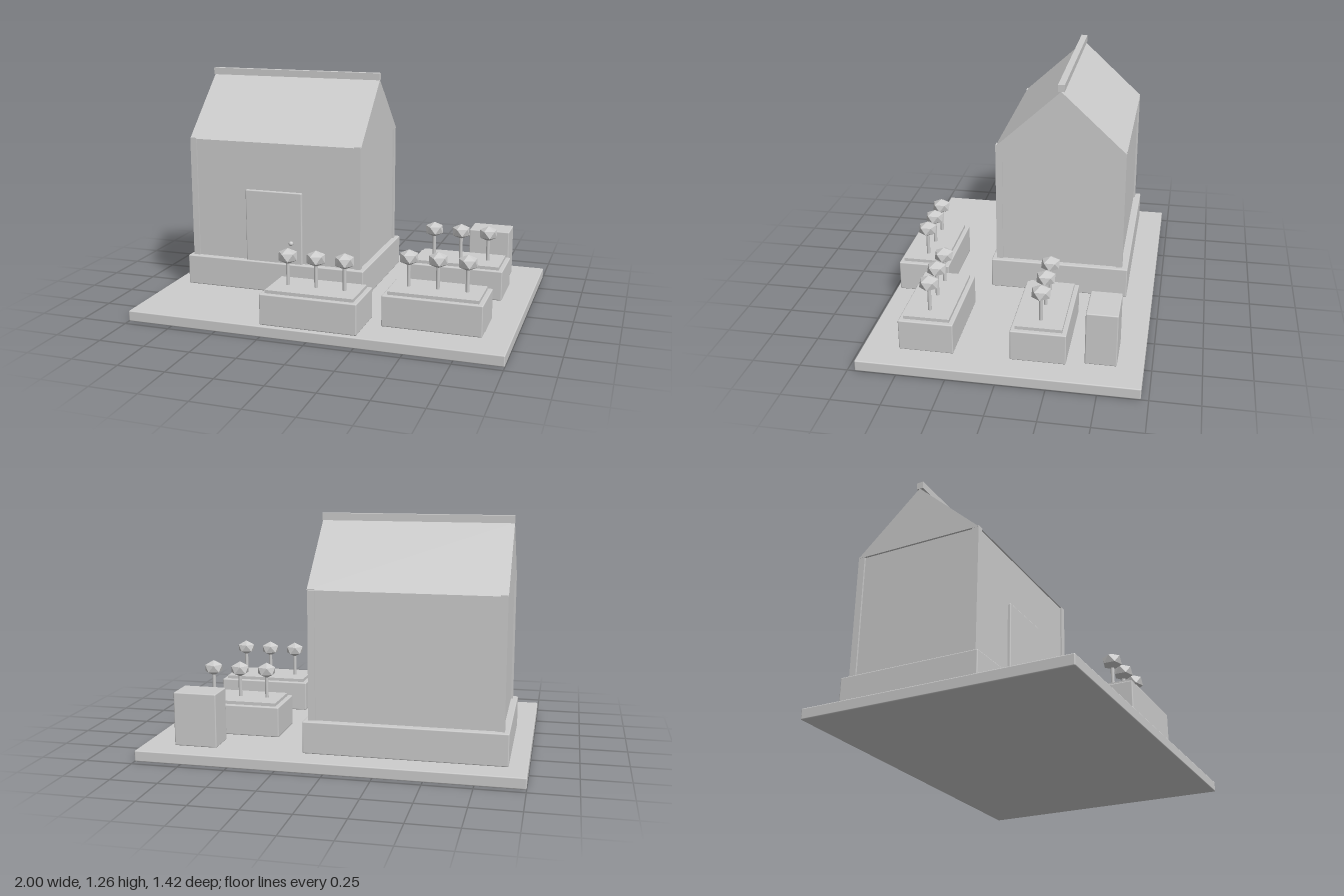
import * as THREE from 'three';
import { RoundedBoxGeometry } from 'three/addons/geometries/RoundedBoxGeometry.js';

export function createModel() {
  const model = new THREE.Group();
  model.name = 'gardenHouse';
  const grey = new THREE.MeshStandardMaterial({ color: 0xcccccc });
  grey.name = 'plain grey';

  function add(name, geometry, parent = model) {
    const mesh = new THREE.Mesh(geometry, grey);
    mesh.name = name;
    parent.add(mesh);
    return mesh;
  }

  // Box given by its extents; bevel > 0 softens the edges
  function block(name, [x0, x1], [y0, y1], [z0, z1], bevel = 0, parent = model) {
    const size = [x1 - x0, y1 - y0, z1 - z0];
    const geometry = bevel
      ? new RoundedBoxGeometry(...size, 2, bevel)
      : new THREE.BoxGeometry(...size);
    const mesh = add(name, geometry, parent);
    mesh.position.set((x0 + x1) / 2, (y0 + y1) / 2, (z0 + z1) / 2);
    return mesh;
  }

  // Ground slab and house plinth
  block('groundSlab', [-1, 1], [0, 0.058], [-0.712, 0.712], 0.006);
  block('plinth', [-0.905, 0.14], [0.058, 0.226], [-0.57, 0.19], 0.006);

  // Walls with a post at each corner
  block('walls', [-0.87, 0.108], [0.2, 0.898], [-0.53, 0.156]);
  for (const x of [-0.862, 0.098]) {
    for (const z of [-0.521, 0.147]) {
      block('cornerPost', [x - 0.018, x + 0.018], [0.2, 0.904], [z - 0.018, z + 0.018]);
    }
  }

  // Gabled roof, running along x
  const gable = new THREE.Shape([
    new THREE.Vector2(-0.352, 0),
    new THREE.Vector2(0.352, 0),
    new THREE.Vector2(0, 0.325),
  ]);
  const roofGeometry = new THREE.ExtrudeGeometry(gable, { depth: 1, bevelEnabled: false });
  roofGeometry.rotateY(Math.PI / 2);
  add('roof', roofGeometry).position.set(-0.881, 0.898, -0.188);
  block('ridgeBeam', [-0.881, 0.119], [1.222, 1.26], [-0.206, -0.17]);

  // Door with knob
  block('door', [-0.55, -0.218], [0.056, 0.63], [0.12, 0.173], 0.006);
  add('doorKnob', new THREE.SphereGeometry(0.013, 16, 10)).position.set(-0.279, 0.345, 0.181);

  // Utility box behind the planters
  block('utilityBox', [0.6, 0.83], [0.058, 0.344], [-0.58, -0.42], 0.006);

  // Faceted flower head with a corner pointing up
  const headGeometry = new THREE.IcosahedronGeometry(0.055, 0);
  headGeometry.rotateX(-Math.atan((1 + Math.sqrt(5)) / 2));
  headGeometry.rotateY(-Math.PI / 2);
  headGeometry.scale(1, 0.78, 1);
  const stemGeometry = new THREE.CylinderGeometry(0.01, 0.01, 0.14, 8);

  // Planters: trough, soil and three flowers each
  for (const [x, z] of [[0, 0.549], [0.597, 0.381], [0.597, -0.189]]) {
    const planter = new THREE.Group();
    planter.name = 'planter';
    planter.position.set(x, 0, z);
    model.add(planter);
    block('trough', [-0.259, 0.259], [0.058, 0.223], [-0.141, 0.141], 0.006, planter);
    block('soil', [-0.235, 0.235], [0.2, 0.24], [-0.118, 0.118], 0, planter);
    for (const dx of [-0.153, 0, 0.153]) {
      add('stem', stemGeometry, planter).position.set(dx, 0.3, 0);
      add('flowerHead', headGeometry, planter).position.set(dx, 0.393, 0);
    }
  }

  return model;
}
